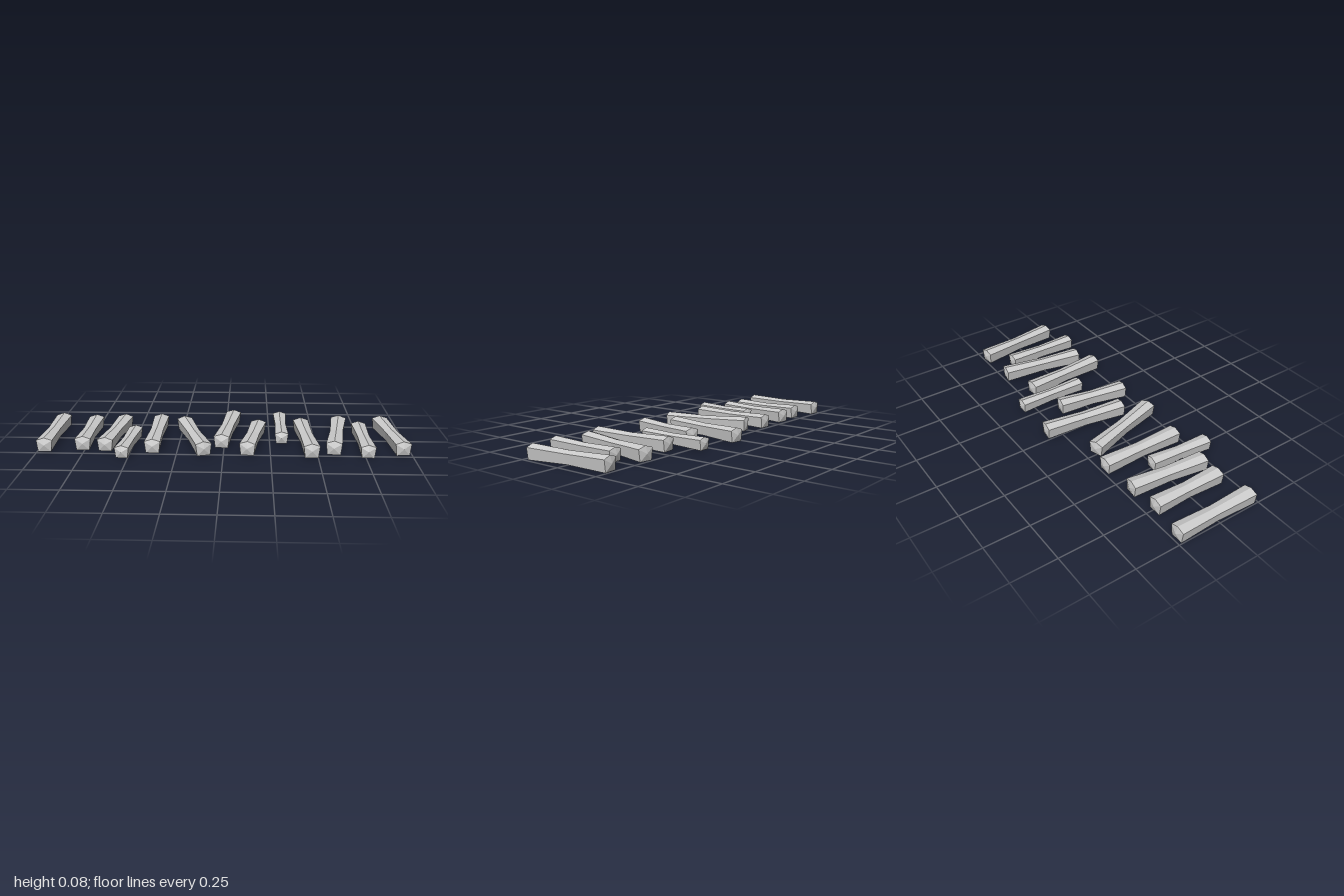
import * as THREE from 'three';

// Five-sided log section around the axis, counter-clockwise seen from the front
const SECTION = [[0, 0.039], [-0.043, 0.025], [-0.035, -0.038], [0.035, -0.038], [0.043, 0.025]];
const AXIS_Y = 0.038;
const CAP = 0.011; // how far the pointed end caps stick out
const WAIST = 0.82;

// [back x, back z, front x, front z, thickness]
const LOGS = [
  [-0.96, -0.245, -0.96, 0.24, 1],
  [-0.76, -0.217, -0.76, 0.207, 1],
  [-0.59, -0.235, -0.638, 0.22, 1],
  [-0.502, 0.04 * -1 + 0.002, -0.53, 0.335, 0.88],
  [-0.38, -0.245, -0.38, 0.24, 1],
  [-0.245, -0.205, -0.1, 0.27, 1],
  [0.045, -0.34, -0.015, 0.147, 1],
  [0.192, -0.155, 0.125, 0.26, 1],
  [0.315, -0.333, 0.315, 0.078, 0.86],
  [0.432, -0.197, 0.467, 0.288, 1],
  [0.66, -0.247, 0.585, 0.238, 1],
  [0.76, -0.147, 0.76, 0.29, 0.93],
  [0.897, -0.25, 0.953, 0.237, 1],
];

// Log along z: three rings (thinner in the middle) and a low point at each end
function logGeometry(length, thickness) {
  const half = length / 2;
  const n = SECTION.length;
  const positions = [];
  const index = [];
  for (const [z, waist] of [[CAP - half, 1], [0, WAIST], [half - CAP, 1]]) {
    for (const [x, y] of SECTION) positions.push(x * waist * thickness, y * waist * thickness, z);
  }
  positions.push(0, 0, -half, 0, 0, half);
  const back = 3 * n;
  const front = back + 1;
  for (let i = 0; i < n; i++) {
    const j = (i + 1) % n;
    for (let r = 0; r < 2; r++) {
      const a = r * n + i, b = r * n + j;
      index.push(a, b, b + n, a, b + n, a + n);
    }
    index.push(j, i, back, 2 * n + i, 2 * n + j, front);
  }
  const geometry = new THREE.BufferGeometry();
  geometry.setAttribute('position', new THREE.Float32BufferAttribute(positions, 3));
  geometry.setIndex(index);
  geometry.computeVertexNormals();
  return geometry;
}

export function createModel() {
  const group = new THREE.Group();
  group.name = 'logRow';
  const material = new THREE.MeshStandardMaterial({ color: 0xcccccc, flatShading: true });

  // Logs laid side by side on the ground, each turned a little
  LOGS.forEach(([bx, bz, fx, fz, thickness], i) => {
    const log = new THREE.Mesh(logGeometry(Math.hypot(fx - bx, fz - bz), thickness), material);
    log.name = `log${i + 1}`;
    log.position.set((bx + fx) / 2, AXIS_Y, (bz + fz) / 2);
    log.rotation.y = Math.atan2(fx - bx, fz - bz);
    group.add(log);
  });
  return group;
}
